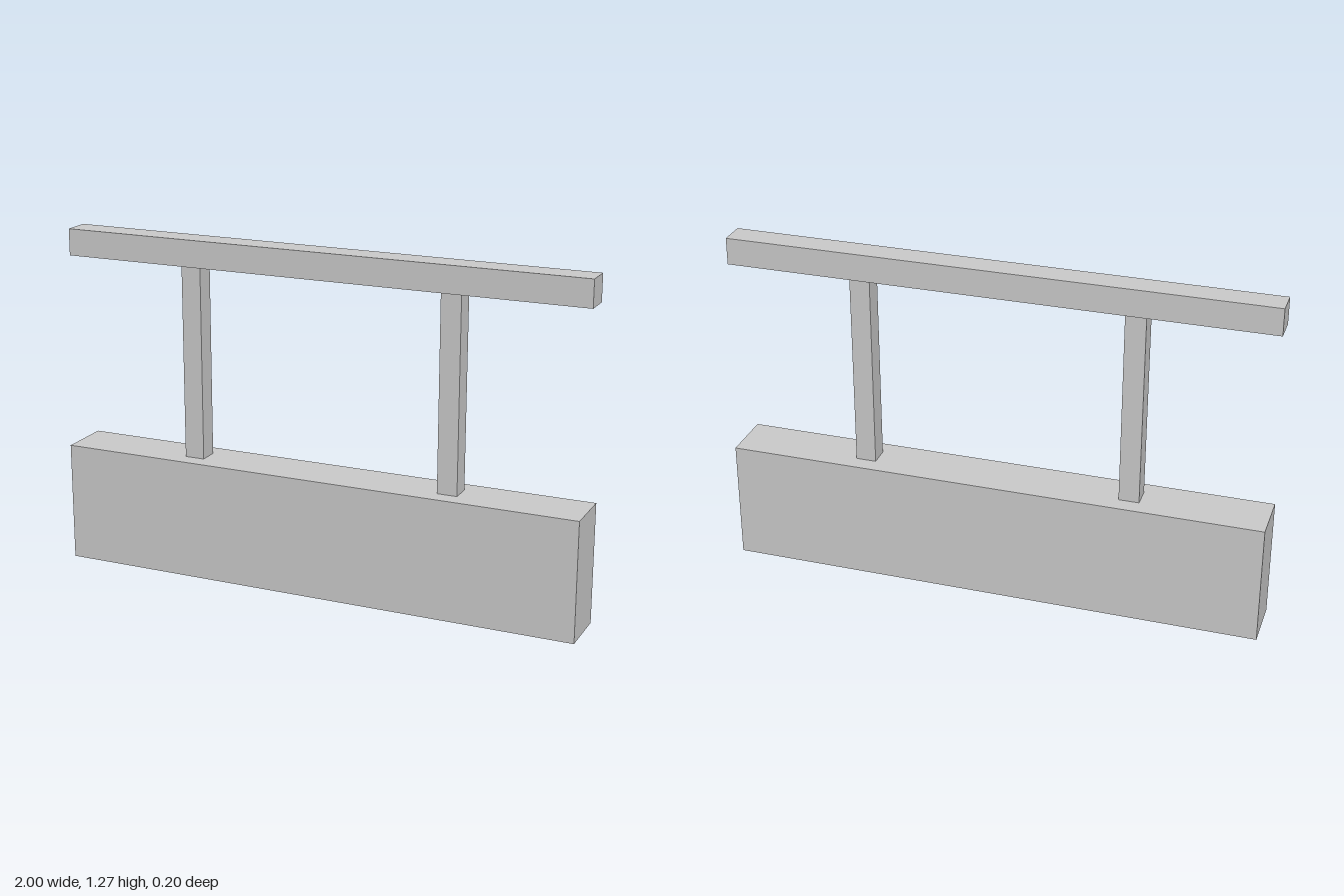
import * as THREE from 'three';

const BASE_TOP = 0.45, RAIL_BOTTOM = 1.175, RAIL_TOP = 1.275;

export function createModel() {
  const model = new THREE.Group();
  model.name = 'railing';
  const material = new THREE.MeshStandardMaterial({ color: 0xcccccc, flatShading: true });

  // Box spanning bottom to top, centred on z = 0
  function addBox(name, x, width, depth, bottom, top) {
    const mesh = new THREE.Mesh(new THREE.BoxGeometry(width, top - bottom, depth), material);
    mesh.name = name;
    mesh.position.set(x, (bottom + top) / 2, 0);
    model.add(mesh);
  }

  // Low solid wall
  addBox('baseWall', 0, 2, 0.2, 0, BASE_TOP);

  // Two square posts
  for (const [name, x] of [['leftPost', 0.5], ['rightPost', -0.5]]) {
    addBox(name, x, 0.075, 0.075, BASE_TOP, RAIL_BOTTOM);
  }

  // Handrail
  addBox('topRail', 0, 2, 0.1, RAIL_BOTTOM, RAIL_TOP);

  return model;
}
